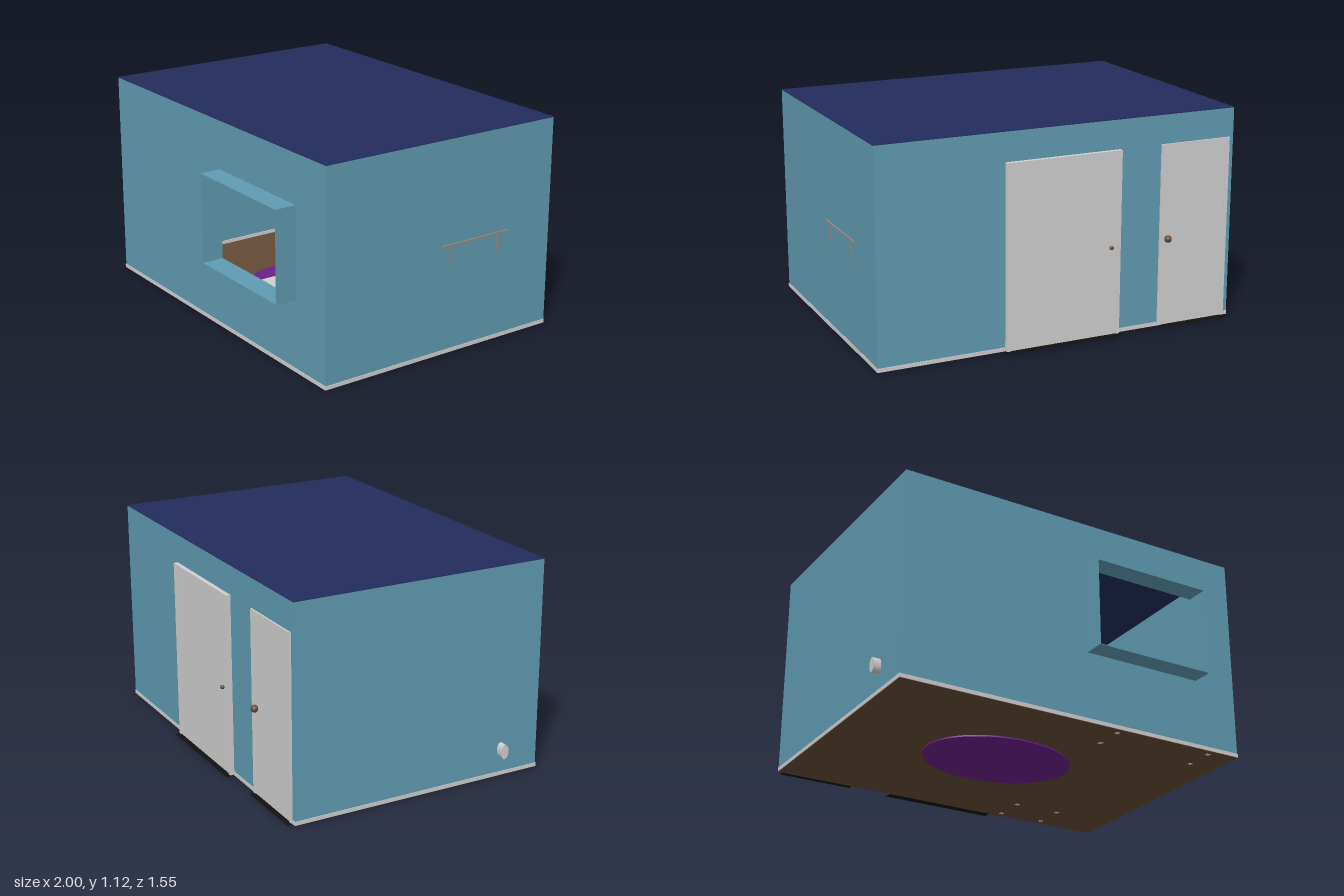
import * as THREE from 'three';

export function createModel() {
  const model = new THREE.Group();
  const mat = (name, color, side = THREE.FrontSide) => {
    const m = new THREE.MeshStandardMaterial({ color, side });
    m.name = name;
    return m;
  };
  const wallBlue = mat('wall blue', 0x5f9bb1);
  const navy = mat('roof navy', 0x232d5d);
  const pale = mat('pale grey', 0xcfcfcf);
  const grey = mat('metal grey', 0x8c8c8c, THREE.DoubleSide);
  const brown = mat('floor brown', 0x634a34);
  const purple = mat('rug purple', 0x6b2086);
  const bronze = mat('knob bronze', 0x6b4a2e);
  const black = mat('threshold black', 0x121212);

  const add = (name, geo, material, parent = model) => {
    const m = new THREE.Mesh(geo, material);
    m.name = name;
    parent.add(m);
    return m;
  };
  // Box given by its lower and upper corners
  const box = (name, x0, x1, y0, y1, z0, z1, material, parent) => {
    const m = add(name, new THREE.BoxGeometry(x1 - x0, y1 - y0, z1 - z0), material, parent);
    m.position.set((x0 + x1) / 2, (y0 + y1) / 2, (z0 + z1) / 2);
    return m;
  };
  const rect = (path, x0, x1, y0, y1) =>
    path.moveTo(x0, y0).lineTo(x1, y0).lineTo(x1, y1).lineTo(x0, y1).closePath();

  const X0 = -0.96, X1 = 0.99, Y0 = 0.012, Y1 = 1.12, Z0 = -0.733, Z1 = 0.66, T = 0.005;
  const win = { x0: 0.077, x1: 0.747, y0: 0.387, y1: 0.866, z: 0.773 };

  // Shell
  const front = new THREE.Shape();
  rect(front, X0, X1, Y0, Y1);
  const hole = new THREE.Path();
  rect(hole, win.x0, win.x1, win.y0, win.y1);
  front.holes.push(hole);
  add('frontWall', new THREE.ExtrudeGeometry(front, { depth: T, bevelEnabled: false }), wallBlue)
    .position.z = Z1 - T;
  box('backWall', X0, X1, Y0, Y1, Z0, Z0 + T, wallBlue);
  box('rightWall', X0, X0 + T, Y0, Y1, Z0 + T, Z1 - T, wallBlue);
  box('leftWall', X1 - T, X1, Y0, Y1, Z0 + T, Z1 - T, wallBlue);
  box('roof', X0, X1, Y1, Y1 + 0.003, Z0, Z1, navy);
  box('floor', X0, X1, 0.008, Y0, Z0, Z1, brown);

  // Oval rug, showing on both sides of the floor
  const rug = add('rug', new THREE.CylinderGeometry(1, 1, 0.018, 64), purple);
  rug.scale.set(0.405, 1, 0.3);
  rug.position.set(-0.065, 0.009, 0.01);

  // Box window sleeve, open at the front
  const sleeve = new THREE.Group();
  sleeve.name = 'windowBox';
  model.add(sleeve);
  const t = 0.004;
  for (const y of [win.y0, win.y1 - t])
    box('windowShelf', win.x0, win.x1, y, y + t, Z1 - T, win.z, wallBlue, sleeve);
  for (const x of [win.x0, win.x1 - t])
    box('windowSide', x, x + t, win.y0 + t, win.y1 - t, Z1 - T, win.z, wallBlue, sleeve);

  // Doors: casing, slab, knob and threshold
  const door = (x0, x1, out, thresholdZ, knobX, knobR, knobZ) => {
    const g = new THREE.Group();
    g.name = 'door';
    model.add(g);
    const top = 0.97, w = 0.02, zo = Z0 - out;
    box('doorSlab', x0 + w, x1 - w, Y0, top - w, zo + 0.005, Z0 + 0.012, pale, g);
    for (const x of [x0, x1 - w]) box('doorJamb', x, x + w, Y0, top, zo, Z0 + 0.01, pale, g);
    box('doorHead', x0 + w, x1 - w, top - w, top, zo, Z0 + 0.01, pale, g);
    for (const x of [x0 - w, x1]) box('innerCasing', x, x + w, Y0, top + w, Z0 + T, Z0 + 0.015, pale, g);
    box('innerHead', x0, x1, top, top + w, Z0 + T, Z0 + 0.015, pale, g);
    box('threshold', x0, x1, 0.007, 0.0125, thresholdZ, Z0, black, g);
    for (const z of [knobZ, Z0 + 0.022])
      add('knob', new THREE.SphereGeometry(knobR, 16, 12), bronze, g).position.set(knobX, 0.475, z);
  };
  door(-0.305, 0.322, 0.023, -0.776, -0.25, 0.011, -0.762);
  door(-0.935, -0.538, 0.009, -0.761, -0.582, 0.019, -0.75);

  // Baseboard strips, broken at the doors
  const s = 0.003, bt = 0.03;
  box('baseboard', X0 - s, X1 + s, 0.01, bt, Z1 - 0.012, Z1 + s, pale);
  for (const x of [X0, X1]) {
    const o = Math.sign(x);
    box('baseboard', Math.min(x + o * s, x - o * 0.012), Math.max(x + o * s, x - o * 0.012),
      0.01, bt, Z0, Z1 - 0.012, pale);
  }
  for (const [a, b] of [[X0, -0.935], [-0.538, -0.305], [0.322, X1]])
    box('baseboard', a, b, 0.01, bt, Z0 - s, Z0 + 0.012, pale);

  // Rail on the left wall
  const rail = new THREE.Group();
  rail.name = 'wallRail';
  model.add(rail);
  box('railBar', 0.988, 0.998, 0.573, 0.585, -0.455, -0.03, grey, rail);
  for (const z of [-0.39, -0.085])
    box('railBracket', 0.988, 0.994, 0.48, 0.573, z - 0.007, z + 0.007, grey, rail);

  // Oval fitting on the right wall
  const fitting = add('wallFitting', new THREE.CylinderGeometry(1, 1, 0.042, 32), pale);
  fitting.rotation.z = Math.PI / 2;
  fitting.scale.set(0.039, 1, 0.022);
  fitting.position.set(-0.979, 0.15, 0.44);

  // Low bench below the window
  const table = (name, x0, x1, h, z0, z1) => {
    const g = new THREE.Group();
    g.name = name;
    model.add(g);
    box('top', x0, x1, h - 0.025, h, z0, z1, pale, g);
    for (const x of [x0 + 0.02, x1 - 0.02])
      for (const z of [z0 + 0.02, z1 - 0.02])
        box('leg', x - 0.01, x + 0.01, 0.006, h - 0.025, z - 0.01, z + 0.01, pale, g);
  };
  table('bench', 0.25, 0.85, 0.3, 0.45, 0.64);
  table('nightstand', 0.36, 0.66, 0.3, -0.71, -0.5);

  // Table lamp
  const lamp = new THREE.Group();
  lamp.name = 'tableLamp';
  lamp.position.set(0.41, 0.3, -0.6);
  model.add(lamp);
  add('lampStem', new THREE.CylinderGeometry(0.008, 0.03, 0.1, 20), grey, lamp).position.y = 0.05;
  add('lampShade', new THREE.CylinderGeometry(0.023, 0.04, 0.06, 24, 1, true),
    grey, lamp).position.y = 0.122;

  // Small ball on the nightstand
  add('ballPost', new THREE.CylinderGeometry(0.005, 0.008, 0.09, 12), grey).position.set(0.605, 0.345, -0.6);
  add('ball', new THREE.SphereGeometry(0.013, 16, 12), grey).position.set(0.605, 0.395, -0.6);

  // Hanging bowl light
  const pendant = new THREE.Group();
  pendant.name = 'pendantLight';
  pendant.position.set(0.345, 0.868, -0.4);
  model.add(pendant);
  add('bowl', new THREE.SphereGeometry(0.042, 24, 10, 0, Math.PI * 2, Math.PI / 2, Math.PI / 2), grey, pendant);
  add('bowlRim', new THREE.CylinderGeometry(0.06, 0.06, 0.005, 24), black, pendant).position.y = 0.002;
  add('cord', new THREE.CylinderGeometry(0.004, 0.004, 0.25, 8), grey, pendant).position.y = 0.126;

  // Round ceiling light
  add('ceilingLight', new THREE.CylinderGeometry(0.085, 0.07, 0.03, 32), pale)
    .position.set(0.015, 1.104, -0.035);

  // Crescent moon on the back wall: a ring arc with tapering ends
  const arc = Math.PI * 1.25;
  const moonGeo = new THREE.TorusGeometry(0.032, 0.013, 12, 32, arc);
  const p = moonGeo.attributes.position;
  for (let i = 0; i < p.count; i++) {
    const a = (Math.floor(i % 33) / 32) * arc;
    const k = Math.sin((a / arc) * Math.PI) * 0.95 + 0.05;
    const cx = Math.cos(a) * 0.032, cy = Math.sin(a) * 0.032;
    p.setXYZ(i, cx + (p.getX(i) - cx) * k, cy + (p.getY(i) - cy) * k, p.getZ(i) * k);
  }
  moonGeo.computeVertexNormals();
  const moon = add('moon', moonGeo, grey);
  moon.position.set(0.515, 0.8, -0.715);
  moon.rotation.z = -arc / 2 - 0.15;

  return model;
}
